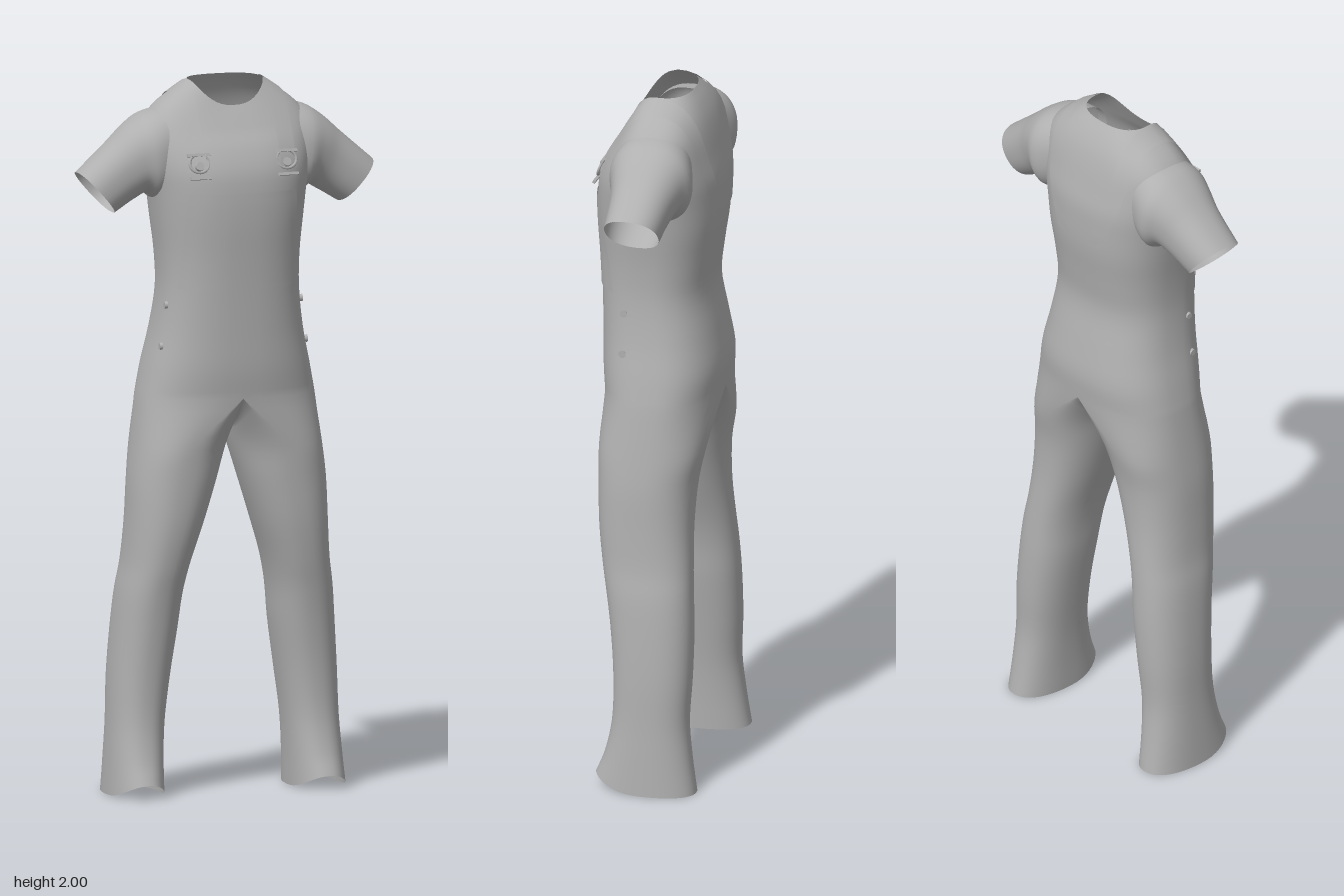
import * as THREE from 'three';
import { mergeGeometries, mergeVertices } from 'three/addons/utils/BufferGeometryUtils.js';

const N = 48; // points round each cross-section
const V3 = (x, y, z) => new THREE.Vector3(x, y, z);

// Rounded cross-section between a and b (in the xy plane), reaching from zb to zf; dip lowers its front
function section([ax, ay], [bx, by], zf, zb, n, dip = 0) {
  const pow = v => Math.sign(v) * Math.abs(v) ** (2 / n);
  return Array.from({ length: N }, (_, j) => {
    const t = (j / N) * Math.PI * 2, c = pow(Math.cos(t)), s = Math.sin(t);
    return V3((ax + bx) / 2 + (bx - ax) / 2 * c,
      (ay + by) / 2 + (by - ay) / 2 * c - dip * Math.max(0, s) ** 2,
      (zf + zb) / 2 + (zf - zb) / 2 * pow(s));
  });
}

// Grid of points to an indexed geometry; flip turns the faces over
function grid(rows, closed, flip) {
  const w = rows[0].length, index = [];
  for (let i = 0; i < rows.length - 1; i++)
    for (let j = 0; j < (closed ? w : w - 1); j++) {
      const a = i * w + j, b = i * w + (j + 1) % w, c = a + w, d = b + w;
      index.push(...(flip ? [a, b, c, b, d, c] : [a, c, b, b, c, d]));
    }
  const g = new THREE.BufferGeometry().setFromPoints(rows.flat());
  g.setIndex(index);
  g.computeVertexNormals();
  return g;
}

// Smooth tube through cross-sections; side -1 mirrors it in x
function loft(rings, side = 1, steps = 4) {
  const curves = rings[0].map((_, j) => new THREE.CatmullRomCurve3(rings.map(r => r[j])));
  const count = (rings.length - 1) * steps;
  const rows = Array.from({ length: count + 1 }, (_, i) =>
    curves.map(c => { const p = c.getPoint(i / count); p.x *= side; return p; }));
  return grid(rows, true, side < 0);
}

export function createModel() {
  const model = new THREE.Group();
  model.name = 'workClothes';
  const cloth = new THREE.MeshStandardMaterial({ color: 0xb0b0b0, side: THREE.DoubleSide });
  cloth.name = 'grey cloth';
  const add = (name, geometry) => {
    const mesh = new THREE.Mesh(geometry, cloth);
    mesh.name = name;
    model.add(mesh);
    return mesh;
  };

  // Torso from hips to neckline: y, half width, front z, back z, dip of the front
  const torso = [
    [1.12, 0.252, 0.152, -0.172, 0],
    [1.2, 0.236, 0.16, -0.177, 0],
    [1.3, 0.214, 0.163, -0.162, 0],
    [1.42, 0.199, 0.167, -0.142, 0],
    [1.52, 0.201, 0.172, -0.152, 0],
    [1.62, 0.212, 0.178, -0.166, 0],
    [1.7, 0.222, 0.178, -0.169, 0],
    [1.76, 0.232, 0.17, -0.167, 0],
    [1.82, 0.24, 0.145, -0.155, 0],
    [1.885, 0.234, 0.115, -0.14, 0.02],
    [1.93, 0.2, 0.1, -0.125, 0.04],
    [1.968, 0.15, 0.088, -0.105, 0.058],
    [1.998, 0.105, 0.074, -0.083, 0.065],
  ].map(([y, w, zf, zb, dip]) => section([-w, y], [w, y], zf, zb, 2.5, dip));

  // Legs from hem to thigh: y, inner x, outer x, front z, back z
  const leg = [
    [0, 0.19, 0.342, 0.122, -0.165],
    [0.1, 0.187, 0.337, 0.098, -0.15],
    [0.2, 0.18, 0.332, 0.078, -0.14],
    [0.33, 0.163, 0.328, 0.077, -0.145],
    [0.47, 0.143, 0.318, 0.09, -0.145],
    [0.57, 0.132, 0.308, 0.105, -0.14],
    [0.65, 0.115, 0.295, 0.12, -0.135],
    [0.76, 0.08, 0.287, 0.135, -0.13],
    [0.88, 0.042, 0.281, 0.142, -0.135],
    [0.98, 0.012, 0.27, 0.146, -0.153],
  ].map(([y, xi, xo, zf, zb], i) => section([xi, y], [xo, y], zf, zb, 2.3, i ? 0 : -0.04));

  // Each leg ends in half of the hip section, closed by the crotch seam
  leg.push(torso[0].map((p, j) => {
    const t = (j / N) * Math.PI * 2;
    return Math.cos(t) > 1e-9 ? p.clone() : V3(0, 1.03 + 0.09 * Math.sin(t) ** 2, p.z);
  }));

  const bodyGeometry = mergeVertices(mergeGeometries(
    [loft(torso), loft(leg), loft(leg, -1)].map(g => g.deleteAttribute('normal'))), 1e-4);
  bodyGeometry.computeVertexNormals();
  const body = add('overallsBody', bodyGeometry);

  // Short sleeves: top point, bottom point, front z, back z
  const sleeve = [
    [[0.15, 1.93], [0.16, 1.69], 0.085, -0.12],
    [[0.235, 1.912], [0.21, 1.67], 0.098, -0.138],
    [[0.285, 1.88], [0.237, 1.688], 0.084, -0.122],
    [[0.335, 1.835], [0.272, 1.672], 0.071, -0.105],
    [[0.43, 1.752], [0.33, 1.637], 0.066, -0.088],
  ].map(([top, bottom, zf, zb]) => section(top, bottom, zf, zb, 2.3));

  // Finds the cloth surface from outside, lifted slightly
  const ray = new THREE.Raycaster();
  const onCloth = (target, outward, lift = 0.004) => {
    ray.set(target.clone().addScaledVector(outward, 2), outward.clone().negate());
    const hit = ray.intersectObject(body)[0];
    return (hit ? hit.point : target.clone()).addScaledVector(outward, lift);
  };
  const front = V3(0, 0, 1);

  // Bib panel lying on the chest
  const bib = Array.from({ length: 13 }, (_, i) => Array.from({ length: 17 }, (_, j) => {
    const v = i / 12, half = 0.178 - 0.02 * v;
    return onCloth(V3((j / 8 - 1) * half, 1.43 + 0.27 * v, 0), front, 0.003);
  }));
  add('bib', grid(bib, false, true));

  for (const side of [1, -1]) {
    const label = side > 0 ? 'left' : 'right';
    add(label + 'Sleeve', loft(sleeve, side));

    // Strap from the buckle over the shoulder, narrowing towards the spine
    const strap = Array.from({ length: 33 }, (_, i) => {
      const t = i / 32, a = THREE.MathUtils.degToRad(22 + 176 * t);
      const x = 0.134 - 0.075 * Math.max(0, (t - 0.5) / 0.5) ** 1.5;
      return [-0.025, 0, 0.025].map(d =>
        onCloth(V3(side * (x + d), 1.7, -0.01), V3(0, Math.sin(a), Math.cos(a))));
    });
    add(label + 'Strap', grid(strap, false, side > 0));

    // Buckle: wire loop, cross bar and button
    const buckle = new THREE.Group();
    buckle.name = label + 'Buckle';
    const piece = (name, geometry, y, z = 0) => {
      const m = new THREE.Mesh(geometry, cloth);
      m.name = name;
      m.position.set(0, y, z);
      buckle.add(m);
      return m;
    };
    piece('buckleLoop', new THREE.TorusGeometry(0.026, 0.004, 6, 20), 0.012).scale.set(1.1, 1, 1);
    piece('buckleBar', new THREE.BoxGeometry(0.066, 0.008, 0.008), 0.036);
    piece('buckleFoot', new THREE.BoxGeometry(0.06, 0.008, 0.008), -0.03);
    piece('buckleButton', new THREE.CylinderGeometry(0.012, 0.014, 0.008, 12), 0.004).rotation.x = Math.PI / 2;
    buckle.position.copy(onCloth(V3(side * 0.128, 1.775, 0), front, 0.004));
    buckle.rotation.x = -0.35;
    model.add(buckle);

    // Hip buttons
    for (const y of [1.265, 1.38]) {
      const outward = V3(side, 0, 0);
      const button = add(label + 'HipButton', new THREE.CylinderGeometry(0.009, 0.011, 0.008, 12));
      button.rotation.z = Math.PI / 2;
      button.position.copy(onCloth(V3(0, y, 0.065), outward, 0.002));
    }
  }
  return model;
}
